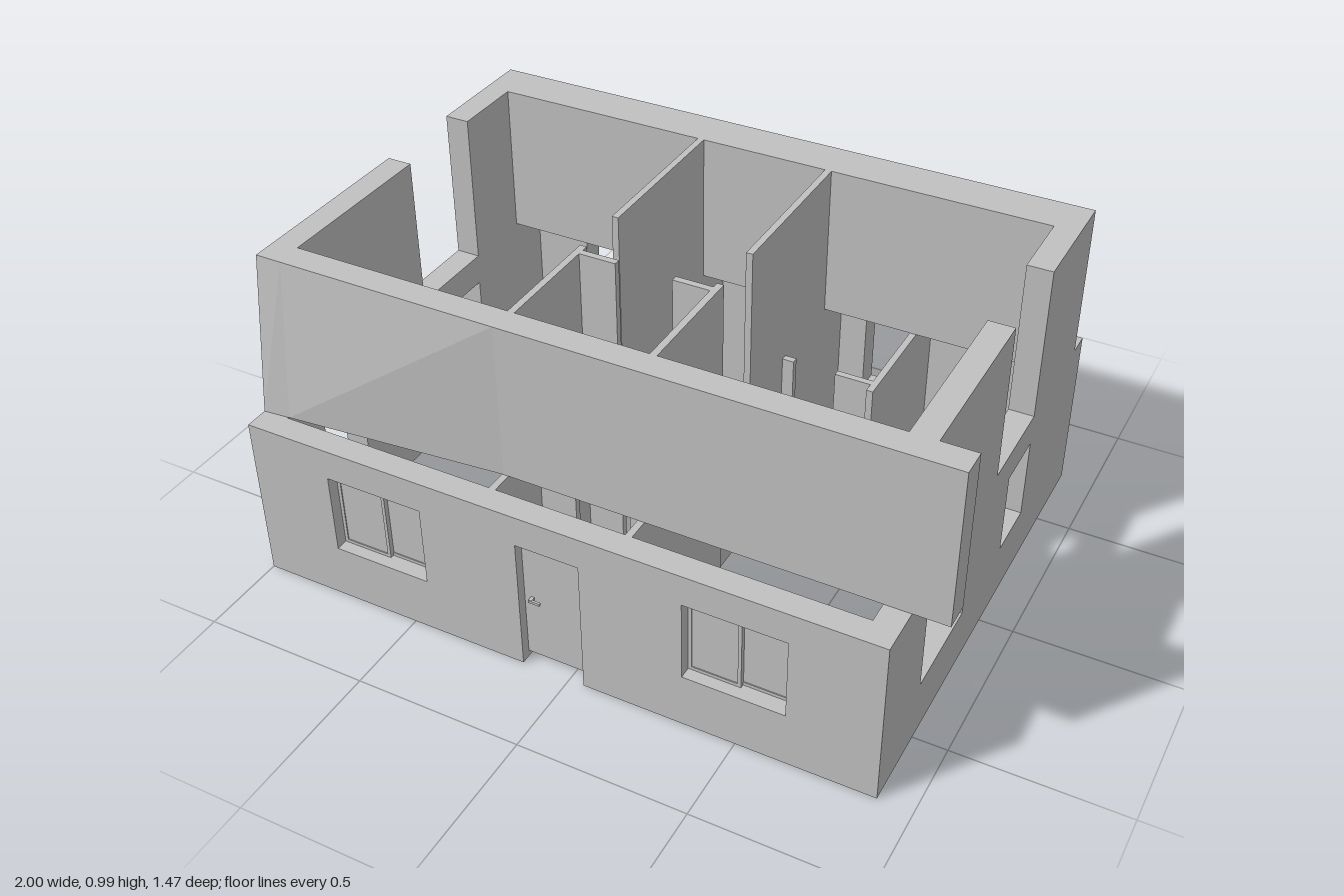
import * as THREE from 'three';

const plaster = new THREE.MeshStandardMaterial({ color: 0xc0c0c0 });
plaster.name = 'plaster grey';

const MID = 0.515, TOP = 0.985;

export function createModel() {
  const model = new THREE.Group();
  model.name = 'houseShell';

  const add = (name, geometry) => {
    const mesh = new THREE.Mesh(geometry, plaster);
    mesh.name = name;
    model.add(mesh);
    return mesh;
  };

  // Box given by its limits on each axis
  const block = (name, x0, x1, y0, y1, z0, z1) =>
    add(name, new THREE.BoxGeometry(x1 - x0, y1 - y0, z1 - z0)
      .translate((x0 + x1) / 2, (y0 + y1) / 2, (z0 + z1) / 2));

  // Ground floor wall with windows [u0, u1] and an optional door notch
  const wallGeometry = (u0, u1, depth, windows, door) => {
    const s = new THREE.Shape();
    s.moveTo(u0, 0);
    if (door) {
      s.lineTo(door[0], 0);
      s.lineTo(door[0], 0.42);
      s.lineTo(door[1], 0.42);
      s.lineTo(door[1], 0);
    }
    s.lineTo(u1, 0);
    s.lineTo(u1, MID);
    s.lineTo(u0, MID);
    s.closePath();
    for (const [a, b] of windows) {
      const h = new THREE.Path();
      h.moveTo(a, 0.17);
      h.lineTo(a, 0.42);
      h.lineTo(b, 0.42);
      h.lineTo(b, 0.17);
      h.closePath();
      s.holes.push(h);
    }
    return new THREE.ExtrudeGeometry(s, { depth, bevelEnabled: false });
  };

  // Ground floor outer walls
  const frontWindows = [[-0.745, -0.445], [0.345, 0.64]];
  add('lowerFrontWall', wallGeometry(-1, 0.9, 0.075, frontWindows, [-0.145, 0.045]).translate(0, 0, 0.66));
  add('lowerBackWall', wallGeometry(-1, 0.9, 0.075, [[0.25, 0.44]], [-0.745, -0.45]).translate(0, 0, -0.735));
  // Side walls are drawn with u = -z, then turned
  const sideWall = (name, x, windows) =>
    add(name, wallGeometry(-0.66, 0.66, 0.075, windows).rotateY(Math.PI / 2).translate(x, 0, 0));
  sideWall('lowerLeftWall', 0.825, [[-0.475, -0.175], [0.125, 0.3]]);
  sideWall('lowerRightWall', -1, [[-0.515, -0.34], [0, 0.295]]);

  // Sliding window sashes: two panes on neighbouring tracks, each with a thin frame
  for (const [a, b] of frontWindows) {
    const mid = (a + b) / 2;
    [[a, mid + 0.005, 0.69], [mid - 0.005, b, 0.678]].forEach(([x0, x1, z]) => {
      block('windowPane', x0, x1, 0.17, 0.42, z, z + 0.006);
      block('sashBottom', x0, x1, 0.17, 0.18, z - 0.003, z + 0.009);
      block('sashTop', x0, x1, 0.41, 0.42, z - 0.003, z + 0.009);
      block('sashSide', x0, x0 + 0.01, 0.18, 0.41, z - 0.003, z + 0.009);
      block('sashSide', x1 - 0.01, x1, 0.18, 0.41, z - 0.003, z + 0.009);
    });
  }

  // Front door with lever handle
  block('frontDoor', -0.145, 0.045, 0.02, 0.42, 0.69, 0.705);
  block('doorHandleStem', -0.125, -0.115, 0.217, 0.227, 0.705, 0.72);
  block('doorHandleLever', -0.125, -0.09, 0.218, 0.226, 0.715, 0.722);

  // Upper front wall, its foot flaring outward toward the right end
  const columns = [-1, -0.92, -0.26, 1];
  let front = new THREE.BoxGeometry(3, TOP - MID, 0.08, 3, 1, 1);
  const p = front.attributes.position;
  for (let i = 0; i < p.count; i++) {
    const x = columns[Math.round(p.getX(i) + 1.5)];
    const foot = p.getY(i) < 0 && p.getZ(i) > 0;
    const flare = foot ? 0.068 * Math.max(0, (-0.26 - x) / 0.74) : 0;
    p.setXYZ(i, x, p.getY(i) + (MID + TOP) / 2, p.getZ(i) + 0.556 + flare);
  }
  front = front.toNonIndexed();
  front.computeVertexNormals();
  add('upperFrontWall', front);

  // Upper back and side walls, with a full-height gap on each side
  block('upperBackWall', -1, 0.9, MID, TOP, -0.66, -0.525);
  for (const [side, x] of [['Left', 0.825], ['Right', -1]]) {
    block(`upper${side}WallFront`, x, x + 0.075, MID, TOP, -0.005, 0.516);
    block(`upper${side}WallBack`, x, x + 0.075, MID, TOP, -0.525, -0.3);
  }

  // Upper partitions, mirrored around the hall
  for (const x of [-0.265, 0.145]) {
    block('upperPartitionBack', x, x + 0.02, MID, TOP, -0.525, -0.015);
    block('upperPartitionFront', x, x + 0.02, MID, TOP, 0.155, 0.516);
  }

  // Hall door jambs: the rear pair runs through both floors
  for (const [x0, x1] of [[-0.245, -0.135], [0.035, 0.145]]) {
    block('hallJambRear', x0, x1, 0, TOP, 0.175, 0.195);
    block('hallJambFront', x0, x1, 0, MID, 0.425, 0.445);
  }

  // Ground floor partitions
  block('lowerPartitionRightBack', -0.265, -0.245, 0, MID, -0.66, -0.015);
  block('lowerPartitionRightFront', -0.265, -0.245, 0, MID, 0.155, 0.66);
  block('lowerPartitionLeftBack', 0.145, 0.165, 0, MID, -0.66, 0);
  block('lowerPartitionLeftMiddle', 0.14, 0.155, 0, MID, 0, 0.155);
  block('lowerPartitionLeftFront', 0.145, 0.165, 0, MID, 0.155, 0.66);
  block('crossPartition', 0.35, 0.825, 0, MID, -0.02, 0);
  block('crossPartitionStub', 0.445, 0.465, 0, MID, -0.04, -0.02);
  block('closetPartition', 0.44, 0.46, 0, MID, -0.66, -0.2);
  block('closetJamb', 0.33, 0.44, 0, MID, -0.25, -0.23);
  block('closetJamb', 0.165, 0.2, 0, MID, -0.25, -0.23);

  return model;
}
